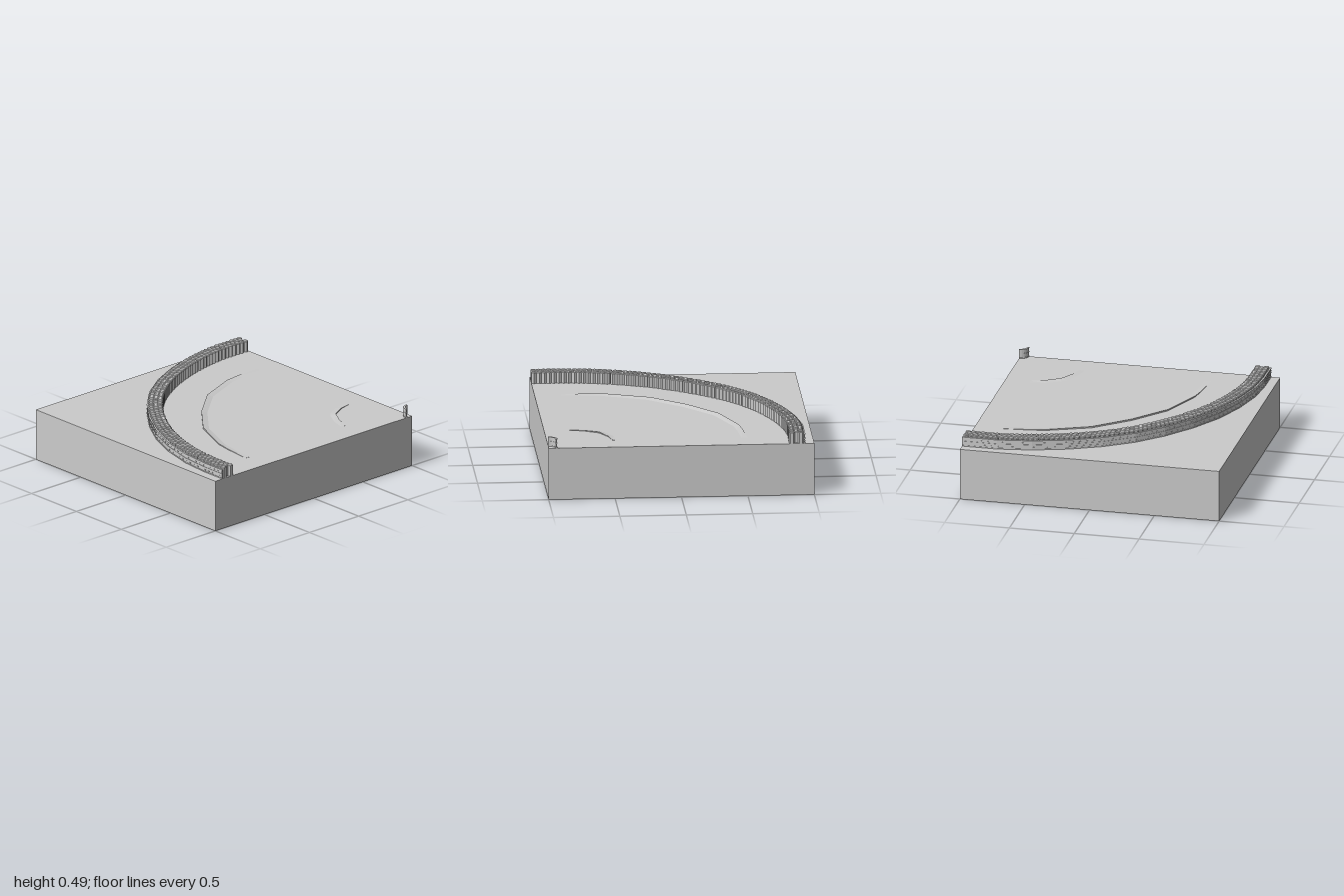
import * as THREE from 'three';
import { mergeGeometries } from 'three/addons/utils/BufferGeometryUtils.js';

const TOP = 0.4;

export function createModel() {
  const group = new THREE.Group();
  const solid = new THREE.MeshStandardMaterial({ color: 0xcccccc, flatShading: true });
  const sheet = new THREE.MeshStandardMaterial({ color: 0xcccccc, flatShading: true, side: THREE.DoubleSide });
  const add = (name, geometry, material = solid) => {
    const mesh = new THREE.Mesh(geometry, material);
    mesh.name = name;
    group.add(mesh);
    return mesh;
  };

  // Strips of quads joining successive cross-sections (arrays of [x, y, z])
  const loft = (sections) => {
    const pos = [];
    for (let i = 0; i + 1 < sections.length; i++) {
      const a = sections[i], b = sections[i + 1];
      for (let j = 0; j + 1 < a.length; j++) {
        pos.push(...a[j], ...b[j], ...b[j + 1], ...a[j], ...b[j + 1], ...a[j + 1]);
      }
    }
    const g = new THREE.BufferGeometry();
    g.setAttribute('position', new THREE.Float32BufferAttribute(pos, 3));
    g.computeVertexNormals();
    return g;
  };

  // Offset of a polyline towards the inside of the bend
  const offset = (pts, d) => pts.map((p, i) => {
    const a = pts[Math.max(i - 1, 0)], b = pts[Math.min(i + 1, pts.length - 1)];
    const l = Math.hypot(b[0] - a[0], b[1] - a[1]);
    return [p[0] - (b[1] - a[1]) / l * d, p[1] + (b[0] - a[0]) / l * d];
  });

  // Ground sheet with two curved steps let into it
  const ground = new THREE.Shape([[-1, -1], [1, -1], [1, 1], [-1, 1]].map(p => new THREE.Vector2(...p)));
  const addStep = (name, pts, heights, crestOutside) => {
    const inner = offset(pts, 0.045);
    const loop = [...pts, ...inner.slice().reverse()];
    ground.holes.push(new THREE.Path(loop.map(([x, z]) => new THREE.Vector2(x, -z))));
    add(name, loft(pts.map((p, i) => {
      const q = inner[i], crest = crestOutside ? p : q;
      return [[p[0], TOP, p[1]], [crest[0], TOP + heights[i], crest[1]], [q[0], TOP, q[1]]];
    })), sheet);
  };
  addStep('outerGroundStep',
    [[-0.51, 0.8], [-0.49, 0.58], [-0.47, 0.46], [-0.34, 0.14], [-0.12, -0.12],
      [0.14, -0.34], [0.46, -0.47], [0.58, -0.49], [0.8, -0.51]],
    [0.001, 0.005, 0.008, 0.011, 0.012, 0.011, 0.008, 0.005, 0.001], true);
  addStep('innerGroundStep',
    [[0.46, 0.8], [0.49, 0.69], [0.55, 0.58], [0.58, 0.55], [0.69, 0.49], [0.8, 0.46]],
    [0.001, 0.005, 0.008, 0.008, 0.005, 0.001], false);
  add('ground', new THREE.ShapeGeometry(ground).rotateX(-Math.PI / 2).translate(0, TOP, 0), sheet);

  // Base sides, open underneath
  add('baseSides', loft([[-1, 1], [1, 1], [1, -1], [-1, -1], [-1, 1]]
    .map(([x, z]) => [[x, TOP, z], [x, 0, z]])), sheet);

  // Thin outer facing of the curved wall
  const outline = [[-0.93, 1], [-0.93, 0.8], [-0.91, 0.57], [-0.845, 0.31], [-0.745, 0.065], [-0.605, -0.167],
    [-0.435, -0.38], [-0.25, -0.555], [-0.03, -0.7], [0.21, -0.81], [0.47, -0.89], [0.73, -0.93], [1, -0.93]];
  const wallStrip = (pts, thick, y0, y1) => {
    const inner = offset(pts, thick);
    const sections = pts.map(([x, z], i) => {
      const [u, w] = inner[i];
      return [[x, y0, z], [x, y1, z], [u, y1, w], [u, y0, w], [x, y0, z]];
    });
    const caps = [sections[0], sections[sections.length - 1]].map(s => loft([[s[0], s[1]], [s[3], s[2]]]));
    return mergeGeometries([loft(sections), ...caps]);
  };
  add('wallFacing', wallStrip(outline, 0.01, TOP, 0.474), sheet);
  [0.402, 0.436, 0.468].forEach(y => add('wallCourse', wallStrip(offset(outline, -0.003), 0.004, y, y + 0.006), sheet));

  // Two rows of small bricks on the facing
  const bricks = [];
  for (let i = 0; i + 1 < outline.length; i++) {
    const [ax, az] = outline[i], [bx, bz] = outline[i + 1];
    for (let k = 0; k < 10; k++) {
      const t = (k + 0.5) / 10;
      bricks.push(new THREE.BoxGeometry(0.014, 0.006, 0.005)
        .rotateY(Math.atan2(az - bz, bx - ax))
        .translate(ax + (bx - ax) * t, k % 2 ? 0.42 : 0.454, az + (bz - az) * t));
    }
  }
  add('facingBricks', mergeGeometries(bricks));

  // Packed six-sided columns in three staggered rows, split into blocks by narrow joints
  const R = 0.0222, S = R * Math.sqrt(3);
  const curve = new THREE.CatmullRomCurve3(outline.map(([x, z]) => new THREE.Vector3(x, 0, z)));
  const column = new THREE.LatheGeometry(
    [[R, 0], [R, 0.083], [R * 0.75, 0.088], [0, 0.09]].map(p => new THREE.Vector2(...p)), 6);
  const length = curve.getLength(), perBlock = 8;
  const columns = [];
  for (let row = 0; row < 3; row++) {
    for (let i = 0; ; i++) {
      const joint = Math.floor(i / perBlock) * 0.006;
      const d = S * (i + 0.5 + (row % 2) * 0.5) + joint;
      if (d > length - S * 0.45) break;
      const p = curve.getPointAt(d / length), t = curve.getTangentAt(d / length);
      const inset = 0.031 + row * R * 1.5;
      columns.push(column.clone().rotateY(Math.atan2(-t.z, t.x))
        .translate(p.x - t.z * inset, TOP, p.z + t.x * inset));
    }
  }
  add('wallColumns', mergeGeometries(columns));

  // Small quarter-round wall in the front left corner
  const arc = (r) => Array.from({ length: 9 }, (_, i) => {
    const a = i / 8 * Math.PI / 2;
    return [1 - r * Math.cos(a), 1 - r * Math.sin(a)];
  });
  add('cornerWall', wallStrip(arc(0.064), 0.01, TOP, 0.474), sheet);
  [0.402, 0.436, 0.468].forEach(y => add('cornerCourse', wallStrip(arc(0.067), 0.016, y, y + 0.006), sheet));

  return group;
}
